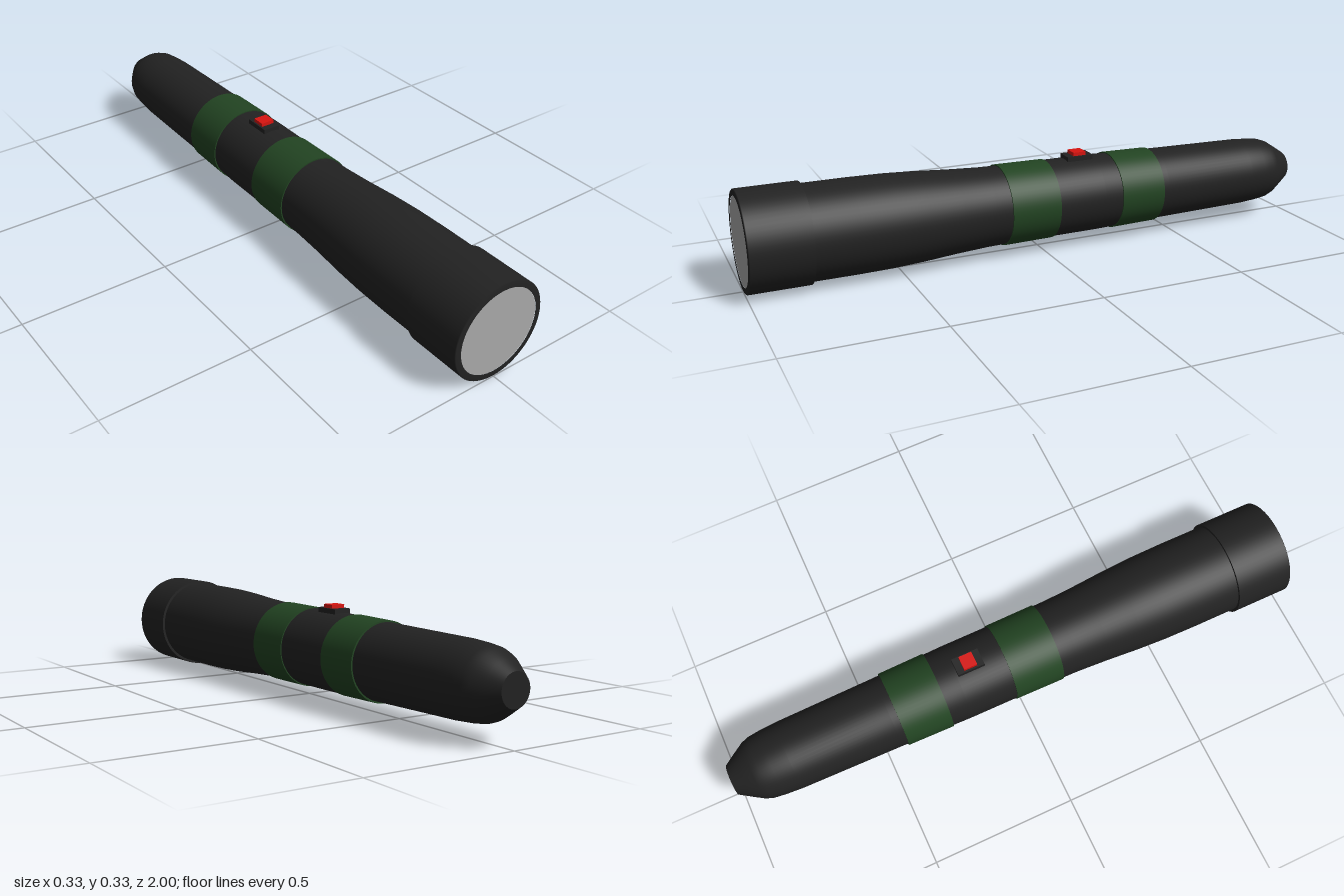
import * as THREE from 'three';

const AXIS_Y = 0.165;

function material(name, color) {
  const m = new THREE.MeshStandardMaterial({ color });
  m.name = name;
  return m;
}

export function createModel() {
  const group = new THREE.Group();
  group.name = 'flashlight';
  const black = material('black casing', 0x222222);
  const green = material('green grip', 0x224422);
  const grey = material('grey lens', 0xaaaaaa);
  const red = material('red button', 0xd81410);

  function add(name, geometry, mat, x = 0, y = AXIS_Y, z = 0) {
    const mesh = new THREE.Mesh(geometry, mat);
    mesh.name = name;
    mesh.position.set(x, y, z);
    group.add(mesh);
  }

  // Turned part along z from [radius, z] pairs, running back to front
  function turned(name, profile, mat) {
    const points = profile.map(([r, z]) => new THREE.Vector2(r, z));
    add(name, new THREE.LatheGeometry(points, 64).rotateX(Math.PI / 2), mat);
  }

  // Tapered barrel with rounded tail
  turned('barrel', [
    [0.052, -1], [0.078, -0.96], [0.1, -0.925], [0.109, -0.9], [0.114, -0.86],
    [0.118, -0.8], [0.124, -0.45], [0.131, -0.2], [0.132, 0.1], [0.134, 0.2],
    [0.14, 0.31], [0.149, 0.43], [0.154, 0.53], [0.156, 0.65], [0.156, 0.82],
  ], black);
  const tail = new THREE.CircleGeometry(0.052, 64).rotateY(Math.PI);
  add('tailCap', tail, black, 0, AXIS_Y, -1);

  // Head with front rim, and lens
  turned('headCollar', [[0.15, 0.8], [0.165, 0.8]], black);
  turned('head', [[0.165, 0.8], [0.165, 0.997], [0.162, 1], [0.143, 1]], black);
  add('lens', new THREE.CircleGeometry(0.143, 64), grey, 0, AXIS_Y, 0.999);

  // Grip bands
  for (const [name, back, front, rBack, rFront] of [
    ['frontGrip', -0.03, 0.143, 0.135, 0.137],
    ['rearGrip', -0.427, -0.265, 0.13, 0.133],
  ]) {
    const band = new THREE.CylinderGeometry(rFront, rBack, front - back, 64).rotateX(Math.PI / 2);
    add(name, band, green, 0, AXIS_Y, (front + back) / 2);
  }

  // Switch
  add('switchBase', new THREE.BoxGeometry(0.06, 0.03, 0.094), black, 0, 0.294, -0.148);
  add('switchButton', new THREE.BoxGeometry(0.048, 0.03, 0.046), red, 0, 0.306, -0.148);

  return group;
}
